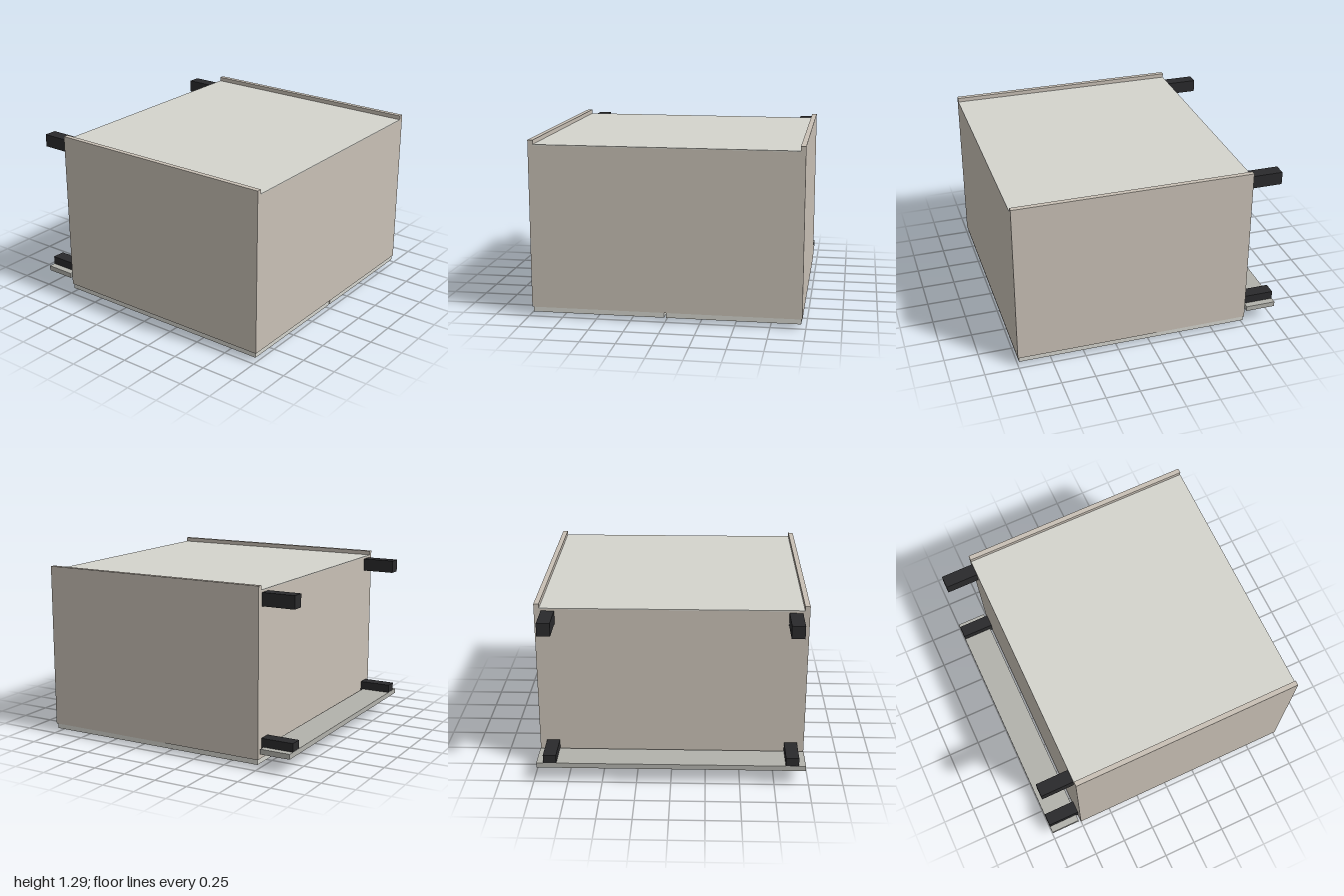
import * as THREE from 'three';

const mat = (color) => new THREE.MeshStandardMaterial({ color });

export function createModel() {
  const model = new THREE.Group();
  const carcass = mat(0xc8c0b5), pale = mat(0xd4d4cd), plinthGrey = mat(0xb2b2ac);
  const black = mat(0x2a2a2c), steel = mat(0x85878a);

  // Box given by its lower and upper limits on each axis
  const box = (name, material, [x0, x1], [y0, y1], [z0, z1]) => {
    const mesh = new THREE.Mesh(new THREE.BoxGeometry(x1 - x0, y1 - y0, z1 - z0), material);
    mesh.position.set((x0 + x1) / 2, (y0 + y1) / 2, (z0 + z1) / 2);
    mesh.name = name;
    model.add(mesh);
  };
  const mirrored = (side, a, b) => (side > 0 ? [a, b] : [-b, -a]);

  // Cabinet lying with its doors down: end panels and thin back sheet
  box('cabinetTop', carcass, [-0.938, 0.938], [0.07, 1.253], [0.963, 1]);
  box('cabinetBottom', carcass, [-0.938, 0.938], [0.07, 1.253], [-0.755, -0.718]);
  box('backPanel', pale, [-0.938, 0.938], [1.253, 1.259], [-0.755, 1]);

  // Plinth board clipped to the legs
  box('plinth', plinthGrey, [-0.975, 0.975], [0.115, 0.153], [-1, -0.773]);

  // Stadium outline of a handle, extruded downwards from the door
  const r = 0.0125, half = 0.1175 - r;
  const outline = new THREE.Shape();
  outline.absarc(half, 0, r, -Math.PI / 2, Math.PI / 2);
  outline.absarc(-half, 0, r, Math.PI / 2, Math.PI * 1.5);
  outline.closePath();
  const handleGeometry = new THREE.ExtrudeGeometry(outline, {
    depth: 0.032, bevelEnabled: false, curveSegments: 10,
  }).rotateX(-Math.PI / 2);

  for (const side of [1, -1]) {
    const label = side > 0 ? 'left' : 'right';
    box(label + 'SidePanel', carcass, mirrored(side, 0.938, 0.975), [0.07, 1.29], [-0.755, 1]);
    box(label + 'Door', pale, mirrored(side, 0.007, 0.967), [0.032, 0.069], [-0.748, 0.992]);

    const handle = new THREE.Mesh(handleGeometry, steel);
    handle.name = label + 'Handle';
    handle.position.set(side * 0.4825, 0, 0.812);
    model.add(handle);

    // Square legs
    box(label + 'BackLeg', black, mirrored(side, 0.83, 0.925), [1.145, 1.24], [-1, -0.755]);
    box(label + 'FrontLeg', black, mirrored(side, 0.83, 0.925), [0.12, 0.215], [-0.999, -0.755]);
  }
  return model;
}
